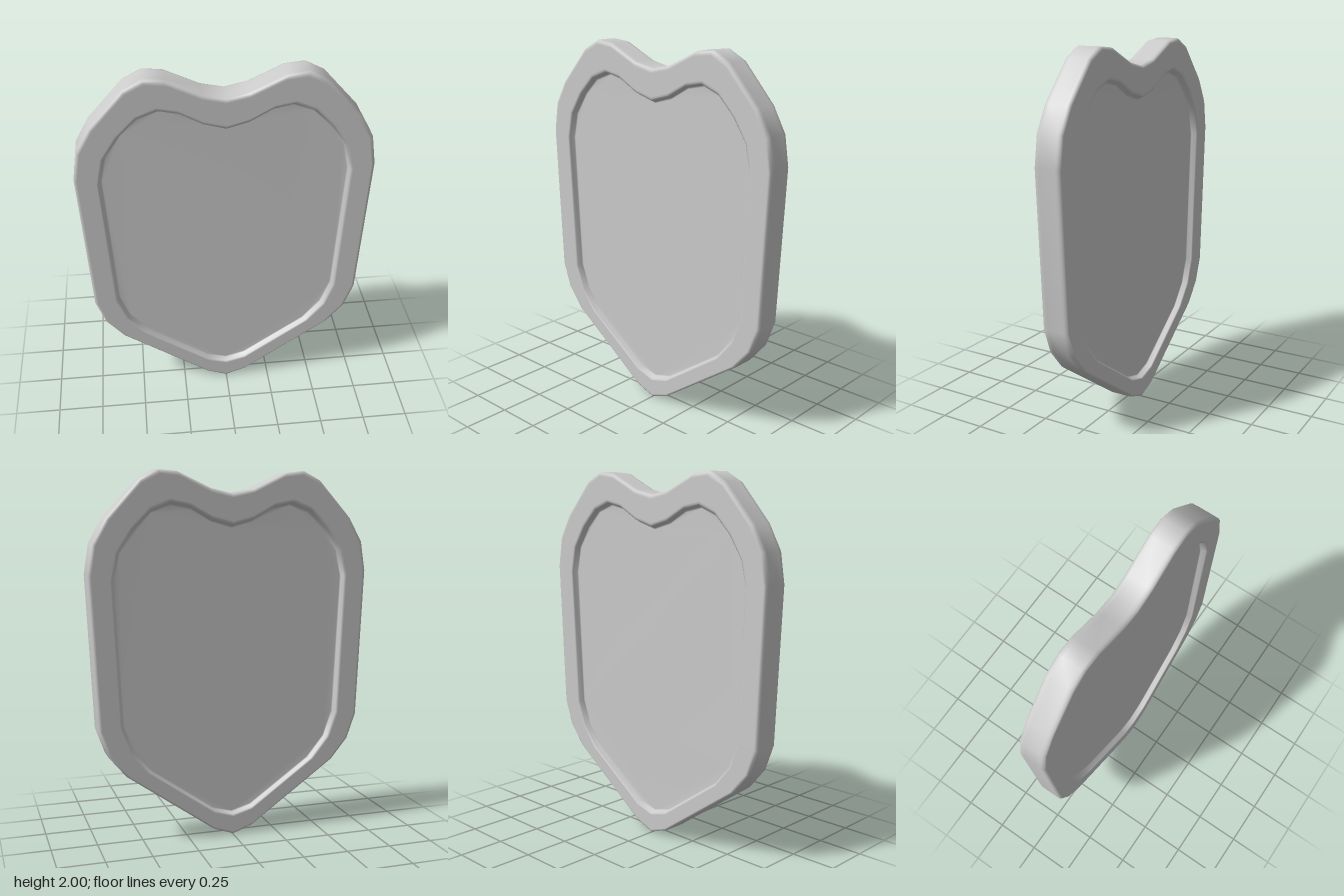
import * as THREE from 'three';

// Right half of each outline, from the bottom point up to the top notch
const OUTER = [[0, 0], [0.11, 0.04], [0.595, 0.385], [0.69, 0.5], [0.74, 0.64], [0.777, 1.46], [0.752, 1.62],
  [0.68, 1.75], [0.5, 1.95], [0.405, 2], [0.3, 1.99], [0.118, 1.905], [0, 1.88]];
const INNER = [[0, 0.13], [0.11, 0.16], [0.45, 0.4], [0.548, 0.52], [0.598, 0.66], [0.635, 1.43], [0.605, 1.57],
  [0.525, 1.69], [0.438, 1.775], [0.33, 1.815], [0.225, 1.793], [0.115, 1.73], [0, 1.697]];

// Rim section: t runs from the recess edge (0) to the outside (1), z is the depth
const RIM = [[0, 0.04], [0.05, 0.043], [0.1, 0.07], [0.15, 0.075], [0.2, 0.075],
  [0.87, 0.075], [0.92, 0.075], [0.975, 0.07], [1, 0.058], [1, 0.045]];

// Full counter-clockwise outline from a right half
const mirrorOutline = (half) => [
  ...half,
  ...half.slice(1, -1).reverse().map(([x, y]) => [-x, y]),
];

function shieldGeometry() {
  const outer = mirrorOutline(OUTER);
  const inner = mirrorOutline(INNER);
  const n = outer.length;
  const rings = [...RIM, ...RIM.slice().reverse().map(([t, z]) => [t, -z])];
  const position = [];
  const index = [];

  for (const [t, z] of rings) {
    for (let i = 0; i < n; i++) {
      position.push(
        THREE.MathUtils.lerp(inner[i][0], outer[i][0], t),
        THREE.MathUtils.lerp(inner[i][1], outer[i][1], t),
        z,
      );
    }
  }

  // Rim surface, front recess edge round to the back recess edge
  for (let r = 0; r < rings.length - 1; r++) {
    for (let i = 0; i < n; i++) {
      const j = (i + 1) % n;
      const a = r * n + i, b = r * n + j, c = a + n, d = b + n;
      index.push(a, c, b, b, c, d);
    }
  }

  // Recessed panels, front and back
  const contour = inner.map(([x, y]) => new THREE.Vector2(x, y));
  const last = (rings.length - 1) * n;
  for (const [a, b, c] of THREE.ShapeUtils.triangulateShape(contour, [])) {
    index.push(a, b, c, last + a, last + c, last + b);
  }

  const geometry = new THREE.BufferGeometry();
  geometry.setAttribute('position', new THREE.Float32BufferAttribute(position, 3));
  geometry.setIndex(index);
  geometry.computeVertexNormals();
  return geometry;
}

export function createModel() {
  const model = new THREE.Group();
  model.name = 'shield';
  const body = new THREE.Mesh(shieldGeometry(), new THREE.MeshStandardMaterial({ color: 0xcccccc }));
  body.name = 'shieldBody';
  model.add(body);
  return model;
}
